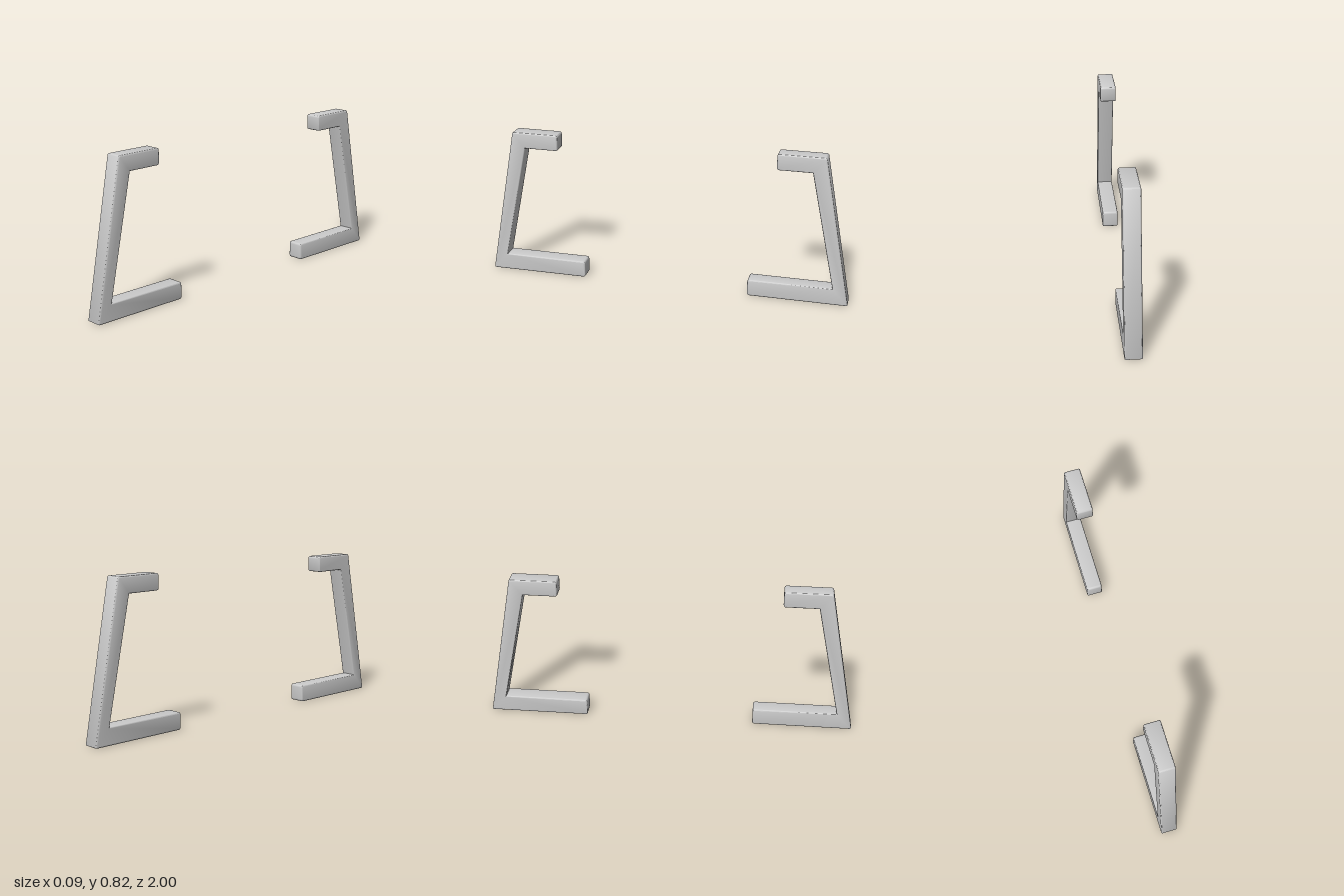
import * as THREE from 'three';
import { toCreasedNormals } from 'three/addons/utils/BufferGeometryUtils.js';

const WIDTH = 0.088, BEVEL = 0.007;

// Side profile as [z, y, corner radius], running anticlockwise
const PROFILE = [
  [1, 0, 0.01], [0.847, 0.82, 0.01],
  [0.593, 0.82, 0.013], [0.593, 0.733, 0.013], [0.779, 0.733, 0],
  [0.914, 0.093, 0],
  [0.458, 0.093, 0.013], [0.458, 0, 0.013],
];

// Closed shape with each corner eased by its radius
function roundedShape(points) {
  const shape = new THREE.Shape();
  const n = points.length;
  points.forEach(([x, y, r], i) => {
    const corner = new THREE.Vector2(x, y);
    const toward = (p) => new THREE.Vector2(p[0], p[1]).sub(corner).setLength(r).add(corner);
    const a = toward(points[(i + n - 1) % n]);
    const b = toward(points[(i + 1) % n]);
    if (i === 0) shape.moveTo(a.x, a.y);
    else shape.lineTo(a.x, a.y);
    if (r > 0) shape.quadraticCurveTo(x, y, b.x, b.y);
  });
  shape.closePath();
  return shape;
}

export function createModel() {
  const model = new THREE.Group();
  model.name = 'handlePair';
  const material = new THREE.MeshStandardMaterial({ color: 0xcccccc });

  // Square bar bent into a leaning C, with softened long edges
  const depth = WIDTH - 2 * BEVEL;
  let geometry = new THREE.ExtrudeGeometry(roundedShape(PROFILE), {
    depth, curveSegments: 4,
    bevelEnabled: true, bevelSize: BEVEL, bevelThickness: BEVEL,
    bevelOffset: -BEVEL, bevelSegments: 3,
  });
  geometry.translate(0, 0, -depth / 2);
  geometry.rotateY(-Math.PI / 2);
  geometry = toCreasedNormals(geometry, 0.65);

  // Front bracket and its opposite, openings facing each other
  ['frontBracket', 'backBracket'].forEach((name, i) => {
    const bracket = new THREE.Mesh(geometry, material);
    bracket.name = name;
    bracket.rotation.y = i * Math.PI;
    model.add(bracket);
  });
  return model;
}
